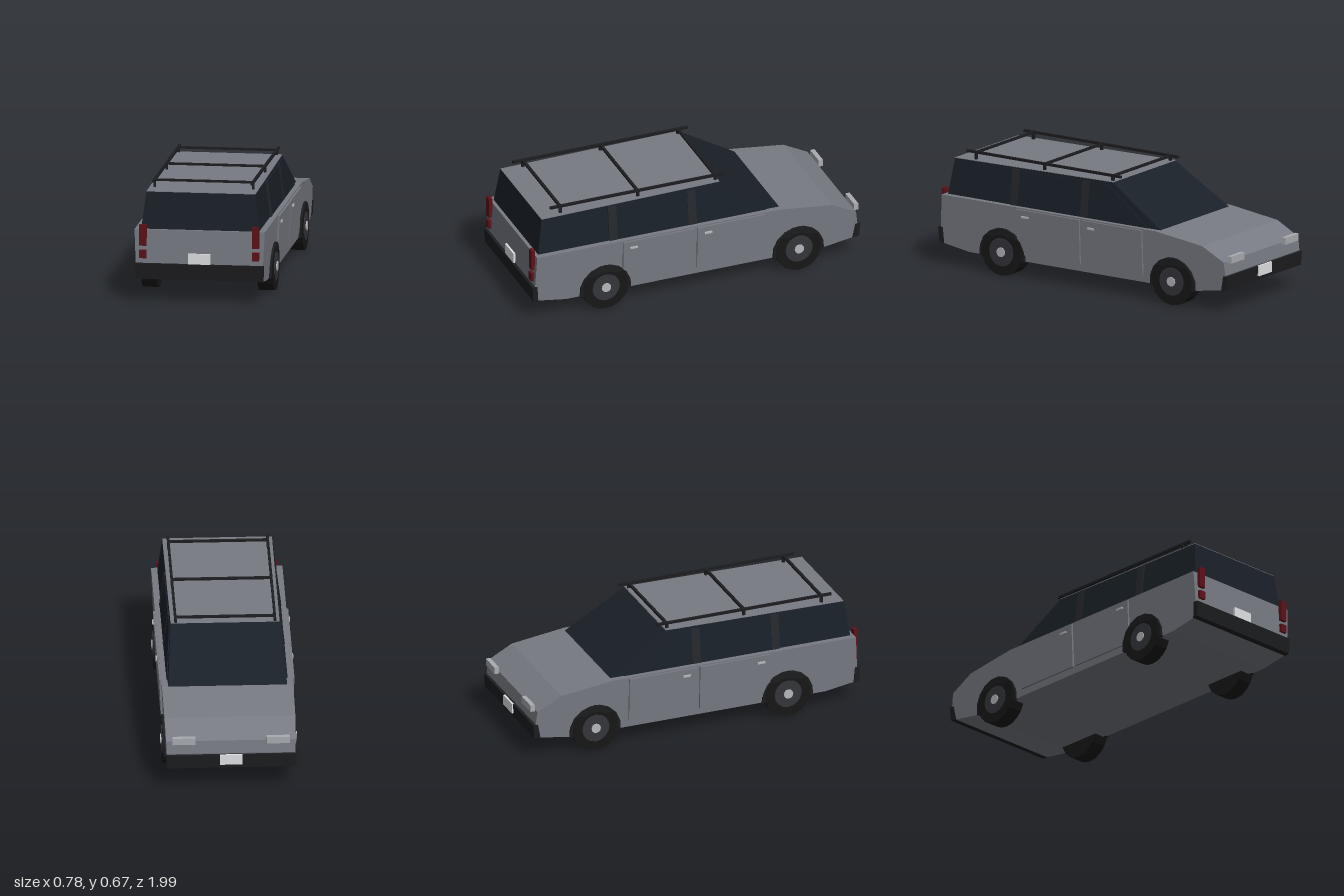
import * as THREE from 'three';

const mat = (color) => new THREE.MeshStandardMaterial({ color, flatShading: true });
const M = {
  paint: mat(0x777a82), glass: mat(0x1a2028), trim: mat(0x1c1d20), pillar: mat(0x24272c),
  tyre: mat(0x161617), rim: mat(0x34353a), metal: mat(0xb4b6ba), lamp: mat(0xa8abb0),
  plate: mat(0xe0e1e4), tail: mat(0x5c1219),
};

export function createModel() {
  const car = new THREE.Group();
  car.name = 'stationWagon';

  const add = (name, geometry, material) => {
    const mesh = new THREE.Mesh(geometry, material);
    mesh.name = name;
    car.add(mesh);
    return mesh;
  };
  const box = (name, material, w, h, d, x, y, z) =>
    add(name, new THREE.BoxGeometry(w, h, d), material).position.set(x, y, z);

  // Side profile of [z, y] points, spanning x from inner(y) to outer(y)
  const prism = (name, material, points, inner, outer) => {
    const shape = new THREE.Shape(points.map(([z, y]) => new THREE.Vector2(z, y)));
    const geo = new THREE.ExtrudeGeometry(shape, { depth: 1, bevelEnabled: false });
    geo.rotateY(-Math.PI / 2);
    const p = geo.attributes.position;
    for (let i = 0; i < p.count; i++) {
      const y = p.getY(i);
      p.setX(i, THREE.MathUtils.lerp(inner(y), outer(y), p.getX(i) + 1));
    }
    geo.computeVertexNormals();
    return add(name, geo, material);
  };
  const full = (name, material, points, half) => prism(name, material, points, (y) => -half(y), half);
  // Thin panels on both sides, standing out from the surface half(y)
  const sidePanels = (name, material, points, half, out, sunk = 0.01) => {
    prism(name + 'Left', material, points, (y) => half(y) - sunk, (y) => half(y) + out);
    prism(name + 'Right', material, points, (y) => -half(y) - out, (y) => -half(y) + sunk);
  };

  const bodyHalf = (y) => 0.357 + (y - 0.1) * 0.042;
  const cabinHalf = (y) => 0.335 - (y - 0.41) * 0.125;

  // Lower body
  full('body', M.paint, [
    [0.97, 0.41], [0.98, 0.22], [0.98, 0.13], [0.79, 0.1], [-0.76, 0.1], [-0.95, 0.13],
    [-0.975, 0.22], [-0.965, 0.295], [-0.82, 0.37], [-0.5, 0.41],
  ], bodyHalf);

  // Glasshouse and roof
  full('glasshouse', M.glass, [[0.95, 0.41], [0.92, 0.617], [-0.16, 0.632], [-0.51, 0.41]], cabinHalf);
  full('roof', M.paint, [[0.92, 0.616], [0.92, 0.62], [-0.16, 0.635], [-0.162, 0.631]], cabinHalf);

  // Door windows and pillars
  sidePanels('frontWindow', M.glass, [[-0.01, 0.41], [-0.01, 0.612], [-0.14, 0.612], [-0.43, 0.41]], cabinHalf, 0.006);
  sidePanels('rearWindow', M.glass, [[0.47, 0.41], [0.47, 0.61], [0.04, 0.61], [0.04, 0.41]], cabinHalf, 0.006);
  for (const [a, b] of [[-0.01, 0.04], [0.47, 0.52]]) {
    sidePanels('pillar', M.pillar, [[b, 0.41], [b, 0.615], [a, 0.615], [a, 0.41]], cabinHalf, 0.008);
  }

  // Doors with handles
  for (const [a, b, handleZ] of [[-0.41, 0.001, -0.063], [0.02, 0.45, 0.39]]) {
    sidePanels('door', M.paint, [[b, 0.14], [b, 0.402], [a, 0.402], [a, 0.14]], bodyHalf, 0.011);
    for (const s of [-1, 1]) box('doorHandle', M.metal, 0.012, 0.011, 0.045, s * 0.382, 0.363, handleZ);
  }

  // Bumpers
  full('rearBumper', M.trim, [[0.96, 0.125], [0.99, 0.13], [0.997, 0.22], [0.967, 0.22]], (y) => bodyHalf(y) + 0.004);
  full('frontBumper', M.trim, [[-0.945, 0.128], [-0.985, 0.135], [-0.99, 0.215], [-0.962, 0.215]], (y) => bodyHalf(y) + 0.004);

  // Licence plates
  box('rearPlate', M.plate, 0.126, 0.06, 0.012, 0, 0.25, 0.985);
  box('frontPlate', M.plate, 0.126, 0.06, 0.012, 0, 0.188, -0.991);

  for (const s of [-1, 1]) {
    // Lamps
    box('headlamp', M.lamp, 0.13, 0.04, 0.026, s * 0.265, 0.305, -0.98);
    box('upperTailLamp', M.tail, 0.04, 0.12, 0.022, s * 0.32, 0.38, 0.982);
    box('lowerTailLamp', M.tail, 0.04, 0.047, 0.02, s * 0.32, 0.272, 0.984);
    // Rack rails
    box('rackRail', M.trim, 0.014, 0.014, 1.06, s * 0.28, 0.663, 0.327);
  }

  // Rack crossbars and posts
  for (const z of [-0.145, 0.325, 0.795]) {
    box('rackCrossbar', M.trim, 0.572, 0.012, 0.016, 0, 0.662, z);
    for (const s of [-1, 1]) box('rackPost', M.trim, 0.013, 0.045, 0.016, s * 0.28, 0.64, z);
  }

  // Wheels and arches
  for (const z of [-0.615, 0.555]) {
    const arch = [];
    for (const [r, dir] of [[0.155, 1], [0.115, -1]]) {
      for (let i = 0; i <= 9; i++) {
        const t = dir > 0 ? i / 9 : 1 - i / 9;
        const a = THREE.MathUtils.lerp(-0.15, Math.PI + 0.15, t);
        arch.push([z + r * Math.cos(a), 0.12 + r * Math.sin(a)]);
      }
    }
    sidePanels('wheelArch', M.trim, arch, bodyHalf, 0.013);
    for (const s of [-1, 1]) {
      const disc = (name, material, r, w, x, sides) => {
        const m = add(name, new THREE.CylinderGeometry(r, r, w, sides).rotateZ(Math.PI / 2), material);
        m.position.set(s * x, 0.137, z);
      };
      disc('tyre', M.tyre, 0.137, 0.09, 0.33, 20);
      disc('rim', M.rim, 0.082, 0.02, 0.369, 16);
      disc('hubCap', M.metal, 0.028, 0.02, 0.375, 12);
    }
  }
  return car;
}
